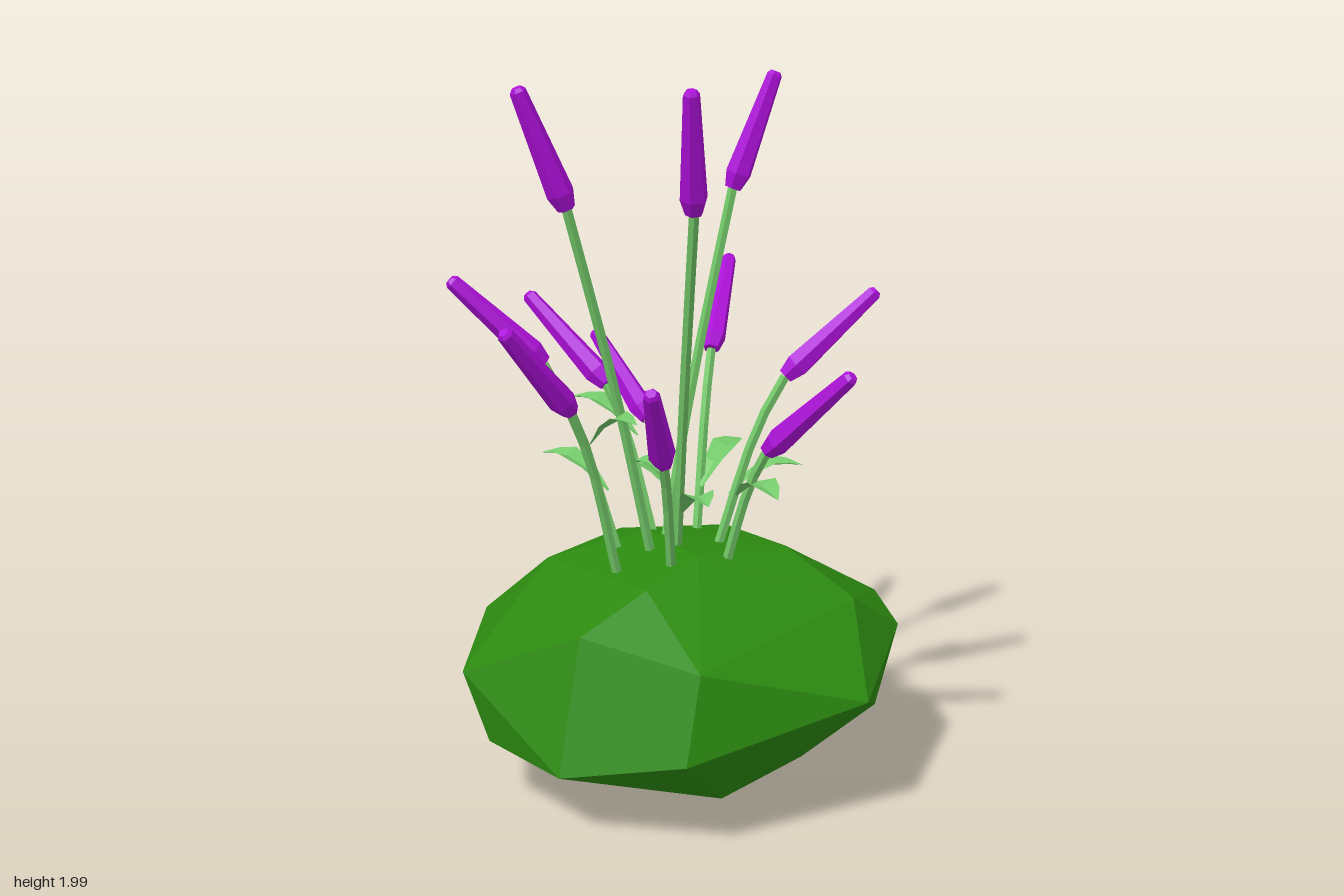
import * as THREE from 'three';
import { ConvexGeometry } from 'three/addons/geometries/ConvexGeometry.js';

const V = (a) => new THREE.Vector3(...a);
const mat = (color, side = THREE.FrontSide) =>
  new THREE.MeshStandardMaterial({ color, side, flatShading: true });

// Corners of the faceted mound, from the bottom up
const MOUND = [
  [-0.04, 0, 0.21], [0.08, 0.02, -0.15], [-0.33, 0.03, 0], [0.38, 0.09, 0.1],
  [0.3, 0.1, -0.3], [-0.28, 0.11, -0.34], [0.22, 0.09, 0.42],
  [-0.56, 0.17, 0.02], [-0.44, 0.19, 0.42], [-0.18, 0.19, 0.61], [0.58, 0.25, 0.05],
  [0.11, 0.22, -0.54], [0.18, 0.28, 0.66], [-0.26, 0.32, -0.51], [0.33, 0.36, -0.48],
  [-0.54, 0.34, -0.27], [0.6, 0.37, 0.33], [-0.52, 0.38, 0.4], [-0.6, 0.41, -0.035],
  [0.62, 0.44, -0.1], [0.52, 0.46, -0.32], [-0.04, 0.45, -0.55],
  [0.2, 0.51, 0.59], [-0.15, 0.55, 0.5], [0.52, 0.58, 0.1], [-0.37, 0.62, 0.08],
  [-0.25, 0.61, -0.27], [0.05, 0.61, -0.38], [0.3, 0.67, -0.04], [0, 0.65, 0.37],
  [0.1, 0.7, 0.2], [-0.1, 0.69, -0.02],
];

// Each flower: stem foot (x, z), bottom of the blossom, tip of the blossom
const FLOWERS = [
  [[0, -0.21], [0, 1.15, -0.4], [0, 1.39, -0.65]],
  [[-0.06, -0.21], [-0.17, 0.95, -0.3], [-0.37, 1.18, -0.43]],
  [[-0.09, -0.09], [-0.25, 1.09, -0.135], [-0.51, 1.33, -0.21]],
  [[-0.05, 0], [0.12, 1.67, -0.135], [0.23, 1.99, -0.175]],
  [[-0.155, 0.06], [-0.36, 1.2, 0.115], [-0.6, 1.44, 0.195]],
  [[0.1, 0.01], [0.29, 1.16, -0.06], [0.53, 1.4, -0.135]],
  [[0.155, 0.135], [0.29, 1.01, 0.19], [0.53, 1.25, 0.275]],
  [[0.03, 0.21], [0.05, 1.01, 0.38], [0.08, 1.26, 0.625]],
  [[0.01, 0.08], [0.125, 1.67, 0.355], [0.145, 1.99, 0.47]],
  [[-0.05, 0.1], [-0.215, 1.67, 0.35], [-0.315, 1.985, 0.44]],
  [[-0.12, 0.22], [-0.2, 1.14, 0.39], [-0.31, 1.39, 0.6]],
];

// Each leaf: root, tip
const LEAVES = [
  [[0.01, 0.77, -0.23], [0.085, 0.87, -0.44]],
  [[-0.08, 0.75, -0.23], [-0.25, 0.77, -0.39]],
  [[-0.02, 0.82, -0.01], [-0.16, 0.88, -0.05]],
  [[-0.19, 0.83, 0.07], [-0.41, 0.91, 0]],
  [[0.14, 0.82, -0.01], [0.34, 0.9, -0.08]],
  [[0.2, 0.87, 0.16], [0.345, 0.91, 0.31]],
  [[0.04, 0.8, 0.13], [0.15, 0.87, 0.285]],
  [[-0.17, 1.03, 0.31], [-0.03, 1.1, 0.345]],
  [[-0.15, 0.95, -0.1], [-0.37, 1.04, -0.16]],
];

// Stem that leans out and bends towards the blossom
function stemGeometry(foot, base) {
  const tall = base.y > 1.5;
  const bend = foot.clone().lerp(base, tall ? 0.45 : 0.62);
  bend.y = THREE.MathUtils.lerp(foot.y, base.y, tall ? 0.5 : 0.73);
  const curve = new THREE.CatmullRomCurve3([foot, bend, base]);
  return new THREE.TubeGeometry(curve, 5, 0.014, 5);
}

// Six-sided blossom, widest just above its base
function blossomGeometry(length) {
  const profile = [[0, 0], [0.024, 0], [0.037, 0.13], [0.022, 0.97], [0.014, 1], [0, 1]];
  return new THREE.LatheGeometry(
    profile.map(([r, t]) => new THREE.Vector2(r, t * length)), 6);
}

// Pointed leaf, arched lengthwise and folded along its middle
function leafGeometry(root, tip) {
  const side = tip.clone().sub(root).cross(V([0, 1, 0])).normalize();
  const rows = [[0, 0.005, 0], [0.3, 0.03, 0.03], [0.6, 0.045, 0.035], [0.8, 0.03, 0.02], [1, 0, 0]];
  const pos = [], index = [];
  rows.forEach(([t, halfWidth, lift], i) => {
    for (const s of [-1, 0, 1]) {
      const p = root.clone().lerp(tip, t).addScaledVector(side, s * halfWidth);
      p.y += lift + Math.abs(s) * halfWidth * 0.35;
      pos.push(p.x, p.y, p.z);
    }
    if (i === rows.length - 1) return;
    for (let c = 0; c < 2; c++) {
      const a = i * 3 + c;
      index.push(a, a + 1, a + 3, a + 1, a + 4, a + 3);
    }
  });
  const g = new THREE.BufferGeometry();
  g.setAttribute('position', new THREE.Float32BufferAttribute(pos, 3));
  g.setIndex(index);
  g.computeVertexNormals();
  return g;
}

export function createModel() {
  const model = new THREE.Group();
  model.name = 'floweringBush';
  const moundMat = mat(0x2c8a10), stemMat = mat(0x74c96a);
  const leafMat = mat(0x74c96a, THREE.DoubleSide), blossomMat = mat(0xae10da);
  const add = (parent, name, geometry, material) => {
    const mesh = new THREE.Mesh(geometry, material);
    mesh.name = name;
    parent.add(mesh);
    return mesh;
  };

  // Mound
  add(model, 'mound', new ConvexGeometry(MOUND.map(V)), moundMat);

  // Flowers
  FLOWERS.forEach(([[x, z], b, t]) => {
    const flower = new THREE.Group();
    flower.name = 'flower';
    const base = V(b), axis = V(t).sub(base);
    add(flower, 'stem', stemGeometry(V([x, 0.62, z]), base), stemMat);
    const blossom = add(flower, 'blossom', blossomGeometry(axis.length()), blossomMat);
    blossom.position.copy(base);
    blossom.quaternion.setFromUnitVectors(V([0, 1, 0]), axis.normalize());
    model.add(flower);
  });

  // Leaves
  LEAVES.forEach(([r, t]) => add(model, 'leaf', leafGeometry(V(r), V(t)), leafMat));
  return model;
}
